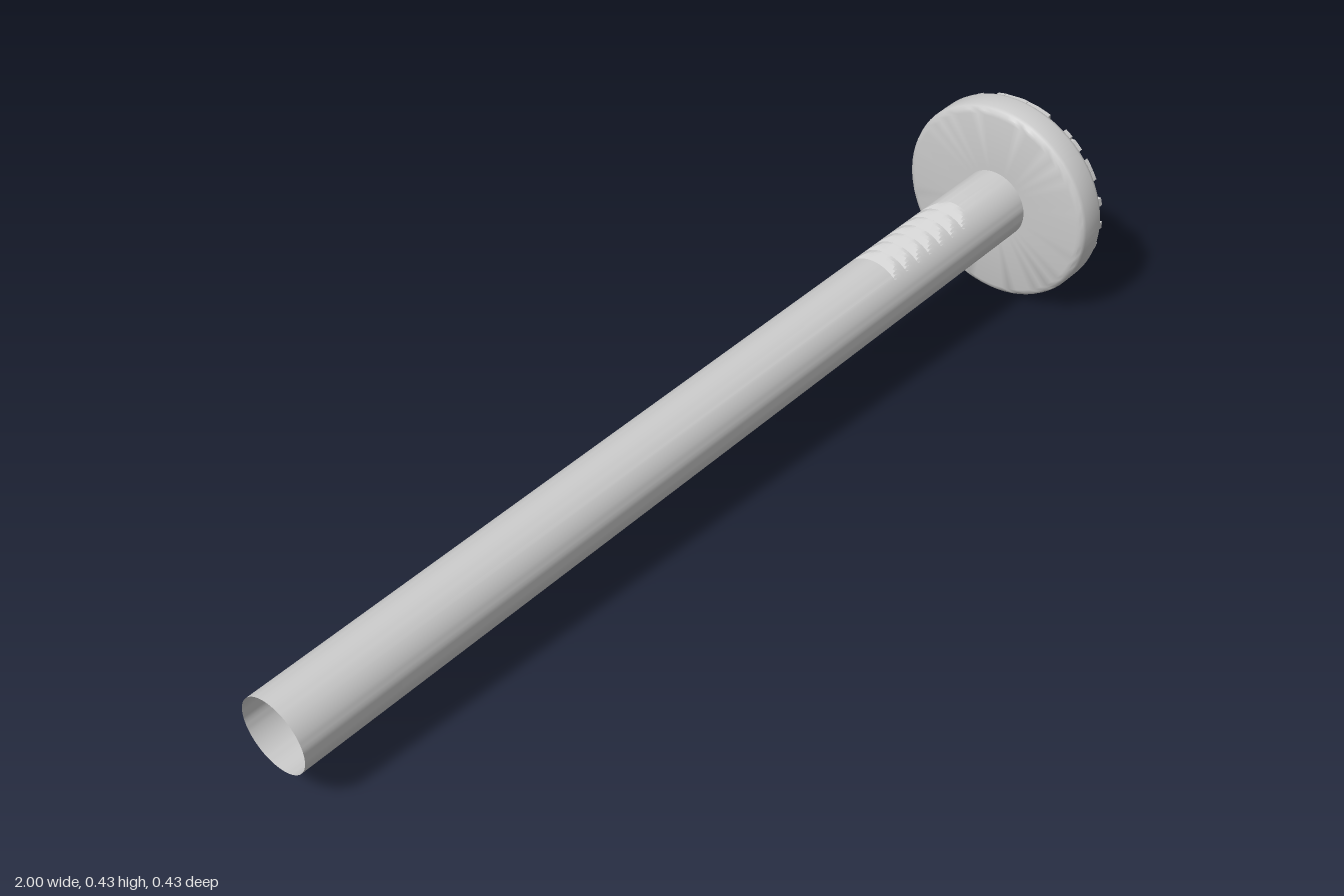
import * as THREE from 'three';
import { toCreasedNormals, mergeGeometries } from 'three/addons/utils/BufferGeometryUtils.js';

// Built along +y (shank below, head above y = 0), then laid down along +x.
const SHANK_R = 0.073, SHANK_LEN = 1.909;
const HEAD_R = 0.2135, FACE_R = 0.208, FLOOR = 0.06, FACE = 0.0785;
const PITCH = 0.0535, BAR = 0.0155;
const GRID_X = 0.006, GRID_Z = 0.008;

const material = new THREE.MeshStandardMaterial({ color: 0xcccccc, side: THREE.DoubleSide });

function addMesh(group, name, geometry) {
  const mesh = new THREE.Mesh(geometry, material);
  mesh.name = name;
  group.add(mesh);
}

// Open tube whose top and bottom are cut by a row of sawtooth notches
function shankGeometry() {
  const sides = 64, teeth = 7, start = -0.397, step = 0.255 / teeth, cut = 0.053;
  const rings = [[-SHANK_LEN, SHANK_R]];
  for (let i = 0; i < teeth; i++) {
    const y = start + i * step;
    rings.push([y, SHANK_R]);
    for (let k = 0; k <= 5; k++) {
      rings.push([y + step * k / 5 * 0.999, cut + (SHANK_R - cut) * k / 5]);
    }
  }
  rings.push([0, SHANK_R]);
  const position = [], index = [];
  rings.forEach(([y, limit], r) => {
    for (let s = 0; s < sides; s++) {
      const a = s / sides * Math.PI * 2;
      const x = THREE.MathUtils.clamp(SHANK_R * Math.cos(a), -limit, limit);
      position.push(x, y, SHANK_R * Math.sin(a));
      if (r === 0) continue;
      const n = (s + 1) % sides, lo = (r - 1) * sides, hi = r * sides;
      index.push(lo + s, hi + s, lo + n, hi + s, hi + n, lo + n);
    }
  });
  const g = new THREE.BufferGeometry();
  g.setAttribute('position', new THREE.Float32BufferAttribute(position, 3));
  g.setIndex(index);
  return toCreasedNormals(g, 0.4);
}

// Rounded rim and back wall of the hollow head, open where the shank joins
function headShellGeometry() {
  const profile = [
    [SHANK_R, 0], [0.198, 0], [0.205, 0.002], [0.211, 0.007], [HEAD_R, 0.014],
    [HEAD_R, 0.058], [0.212, 0.064], [FACE_R, 0.069], [FACE_R - 0.004, FLOOR],
  ].map(([r, y]) => new THREE.Vector2(r, y));
  return toCreasedNormals(new THREE.LatheGeometry(profile, 72), 0.7);
}

// Pocket floor: half of each whole cell is open to the hollow inside
function floorGeometry() {
  const shape = new THREE.Shape();
  shape.absarc(0, 0, FACE_R, 0, Math.PI * 2);
  const h = (PITCH - BAR) / 2;
  for (let i = -4; i < 4; i++) {
    for (let k = -4; k < 4; k++) {
      const x = GRID_X + (i + 0.5) * PITCH, z = GRID_Z + (k + 0.5) * PITCH;
      if (Math.hypot(Math.abs(x) + h, Math.abs(z) + h) > FACE_R - 0.004) continue;
      const corners = [[x - h, z - h], [x - h, z + h], [x + h, z - h]];
      shape.holes.push(new THREE.Path(corners.map(([a, b]) => new THREE.Vector2(a, -b))));
    }
  }
  return new THREE.ShapeGeometry(shape, 36).rotateX(-Math.PI / 2).translate(0, FLOOR, 0);
}

// One raised bar, its ends trimmed to the round face
function barGeometry(centre, alongZ) {
  const low = [], high = [];
  for (let k = 0; k <= 4; k++) {
    const c = THREE.MathUtils.clamp(centre + BAR * (k / 4 - 0.5), -FACE_R, FACE_R);
    const half = Math.sqrt(FACE_R * FACE_R - c * c);
    const point = (t) => alongZ ? new THREE.Vector2(c, t) : new THREE.Vector2(t, -c);
    low.push(point(-half));
    high.unshift(point(half));
  }
  const shape = new THREE.Shape([...low, ...high]);
  return new THREE.ExtrudeGeometry(shape, { depth: FACE - FLOOR, bevelEnabled: false })
    .rotateX(-Math.PI / 2).translate(0, FLOOR, 0);
}

function gridGeometry() {
  const bars = [];
  for (let i = -4; i <= 4; i++) {
    const x = GRID_X + i * PITCH, z = GRID_Z + i * PITCH;
    if (Math.abs(x) - BAR / 2 < FACE_R - 0.002) bars.push(barGeometry(x, true));
    if (Math.abs(z) - BAR / 2 < FACE_R - 0.002) bars.push(barGeometry(z, false));
  }
  return mergeGeometries(bars);
}

export function createModel() {
  const nail = new THREE.Group();
  nail.name = 'nail';
  addMesh(nail, 'shank', shankGeometry());
  addMesh(nail, 'headShell', headShellGeometry());
  addMesh(nail, 'headFloor', floorGeometry());
  addMesh(nail, 'headGrid', gridGeometry());

  // Lay the nail down, resting on its head with a slight rise
  nail.rotation.z = THREE.MathUtils.degToRad(-90 + 2.4);
  nail.position.set(0.9125, 0.214, 0);
  const model = new THREE.Group();
  model.name = 'model';
  model.add(nail);
  return model;
}
